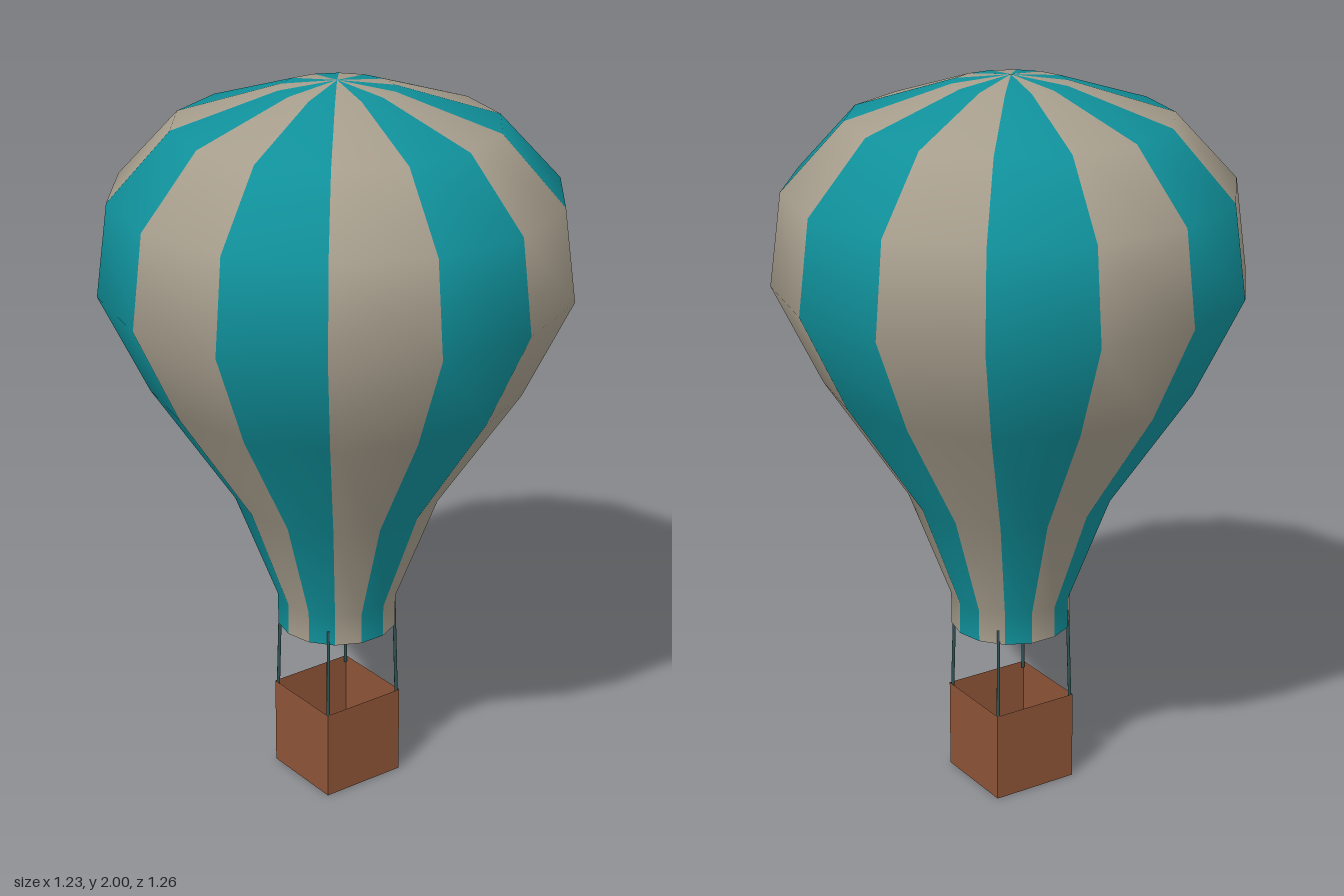
import * as THREE from 'three';
import { mergeGeometries } from 'three/addons/utils/BufferGeometryUtils.js';

const GORES = 14;
const STEP = (Math.PI * 2) / GORES;

// Envelope profile from mouth to crown: radius, height
const PROFILE = [
  [0.166, 0.47], [0.166, 0.56], [0.28, 0.86], [0.5, 1.19], [0.63, 1.46],
  [0.597, 1.71], [0.43, 1.89], [0.152, 1.98], [0, 2],
].map(([r, y]) => new THREE.Vector2(r, y));

function mesh(name, geometry, material) {
  const m = new THREE.Mesh(geometry, material);
  m.name = name;
  return m;
}

// Every second gore, merged into one set of stripes
function stripes(first) {
  const gores = [];
  for (let k = first; k < GORES; k += 2) {
    gores.push(new THREE.LatheGeometry(PROFILE, 1, k * STEP, STEP));
  }
  return mergeGeometries(gores);
}

// Thin straight rod between two points
function rod(a, b, radius) {
  const dir = b.clone().sub(a);
  const g = new THREE.CylinderGeometry(radius, radius, dir.length(), 6);
  g.applyQuaternion(new THREE.Quaternion().setFromUnitVectors(
    new THREE.Vector3(0, 1, 0), dir.normalize()));
  const mid = a.clone().add(b).multiplyScalar(0.5);
  return g.translate(mid.x, mid.y, mid.z);
}

// Thin-walled box without its top face
function openBox(width, height) {
  const g = new THREE.BoxGeometry(width, height, width);
  const index = Array.from(g.index.array);
  index.splice(12, 6);
  g.setIndex(index);
  g.clearGroups();
  return g.translate(0, height / 2, 0);
}

export function createModel() {
  const teal = new THREE.MeshStandardMaterial({ color: 0x10909a });
  const beige = new THREE.MeshStandardMaterial({ color: 0xa69d8c });
  const dark = new THREE.MeshStandardMaterial({ color: 0x2f5354 });
  const brown = new THREE.MeshStandardMaterial({ color: 0x8c5337, side: THREE.DoubleSide });

  const model = new THREE.Group();
  model.name = 'hotAirBalloon';

  // Striped envelope with its closed mouth
  const envelope = new THREE.Group();
  envelope.name = 'envelope';
  envelope.add(mesh('beigeStripes', stripes(0), beige));
  envelope.add(mesh('tealStripes', stripes(1), teal));
  const mouth = new THREE.CircleGeometry(0.166, GORES, Math.PI / 2);
  mouth.rotateX(Math.PI / 2).translate(0, 0.47, 0);
  envelope.add(mesh('mouth', mouth, dark));
  model.add(envelope);

  // Four ropes from the basket corners to the mouth
  const ropes = new THREE.Group();
  ropes.name = 'ropes';
  for (const sx of [-1, 1]) {
    for (const sz of [-1, 1]) {
      const low = new THREE.Vector3(sx * 0.119, 0.24, sz * 0.119);
      const high = new THREE.Vector3(sx * 0.113, 0.51, sz * 0.113);
      ropes.add(mesh('rope', rod(low, high, 0.005), dark));
    }
  }
  model.add(ropes);

  // Open basket
  model.add(mesh('basket', openBox(0.25, 0.255), brown));
  return model;
}
